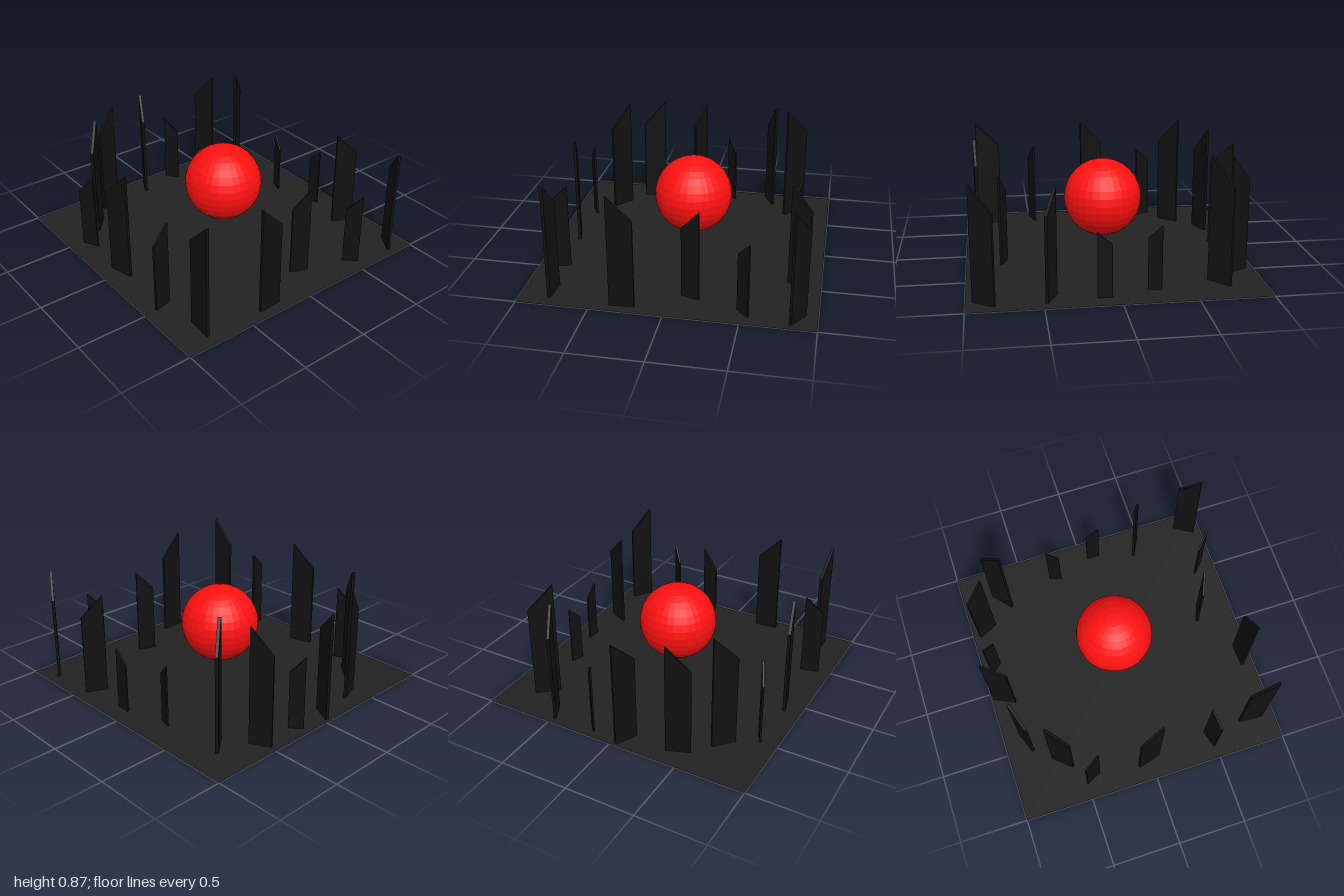
import * as THREE from 'three';

// Each slab: plan position of its tall end and its short end, then the two heights.
const SLABS = [
  // back edge
  [-0.64, -0.65, -0.76, -0.79, 0.87, 0.68],
  [-0.29, -0.795, -0.20, -0.765, 0.45, 0.36],
  [0.15, -0.865, 0.05, -0.865, 0.45, 0.36],
  [0.41, -0.77, 0.48, -0.91, 0.73, 0.58],
  [0.95, -0.825, 0.81, -0.915, 0.78, 0.61],
  // +x edge
  [0.91, -0.55, 0.83, -0.47, 0.53, 0.42],
  [0.755, -0.20, 0.71, -0.075, 0.65, 0.51],
  [0.92, 0.375, 0.91, 0.205, 0.79, 0.62],
  // front edge
  [0.91, 0.795, 0.73, 0.785, 0.82, 0.64],
  [0.455, 0.78, 0.49, 0.91, 0.62, 0.50],
  [0.07, 0.835, -0.10, 0.88, 0.80, 0.63],
  [-0.39, 0.825, -0.50, 0.88, 0.57, 0.45],
  // -x edge
  [-0.69, 0.61, -0.56, 0.725, 0.84, 0.66],
  [-0.87, 0.36, -0.81, 0.52, 0.81, 0.63],
  [-0.98, 0.035, -0.83, 0.11, 0.78, 0.62],
  [-0.94, -0.16, -0.86, -0.23, 0.53, 0.42],
  [-0.81, -0.55, -0.95, -0.48, 0.83, 0.65],
];

// Thin upright slab with a sloping top, spanning two plan points
function makeSlab([x1, z1, x2, z2, high, low], material) {
  const width = Math.hypot(x2 - x1, z2 - z1);
  const thickness = width * 0.12;
  const h = width / 2;
  const outline = new THREE.Shape([
    new THREE.Vector2(-h, 0),
    new THREE.Vector2(h, 0),
    new THREE.Vector2(h, low),
    new THREE.Vector2(-h, high),
  ]);
  const geometry = new THREE.ExtrudeGeometry(outline, { depth: thickness, bevelEnabled: false });
  geometry.translate(0, 0, -thickness / 2);
  const slab = new THREE.Mesh(geometry, material);
  slab.position.set((x1 + x2) / 2, 0, (z1 + z2) / 2);
  slab.rotation.y = Math.atan2(z1 - z2, x2 - x1);
  slab.name = 'slab';
  return slab;
}

export function createModel() {
  const model = new THREE.Group();
  model.name = 'slabRing';

  // Flat square ground
  const ground = new THREE.Mesh(
    new THREE.PlaneGeometry(2, 2).rotateX(-Math.PI / 2),
    new THREE.MeshStandardMaterial({ color: 0x222222, side: THREE.DoubleSide })
  );
  ground.name = 'ground';
  model.add(ground);

  // Floating faceted ball
  const ball = new THREE.Mesh(
    new THREE.SphereGeometry(0.28, 32, 16),
    new THREE.MeshStandardMaterial({ color: 0xff1111, flatShading: true })
  );
  ball.position.set(0.005, 0.43, -0.03);
  ball.name = 'ball';
  model.add(ball);

  // Ring of dark slabs
  const slabs = new THREE.Group();
  slabs.name = 'slabs';
  const dark = new THREE.MeshStandardMaterial({ color: 0x111111, flatShading: true });
  for (const spec of SLABS) slabs.add(makeSlab(spec, dark));
  model.add(slabs);

  return model;
}
